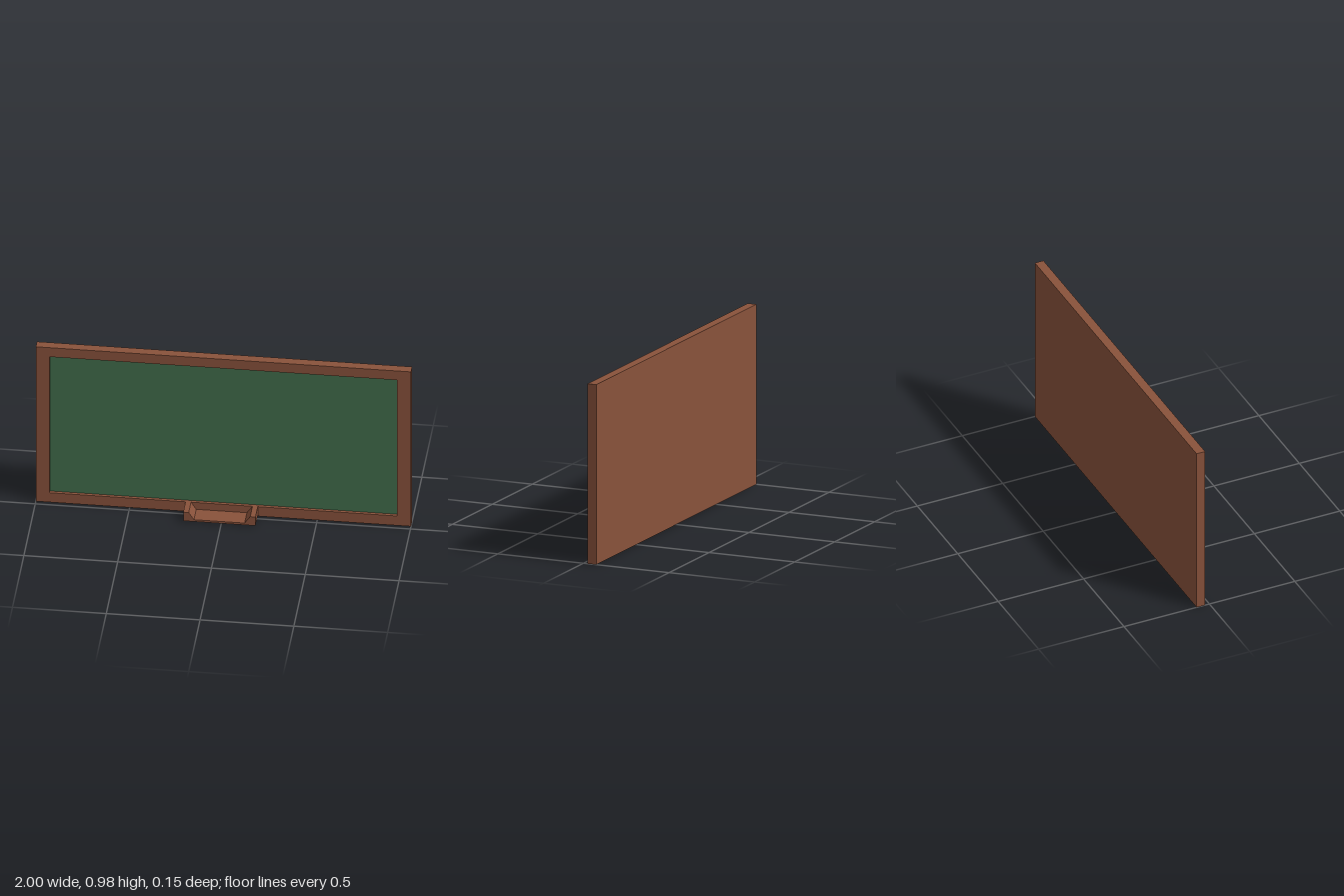
import * as THREE from 'three';

const wood = new THREE.MeshStandardMaterial({ name: 'brownWood', color: 0x89523b });
const slate = new THREE.MeshStandardMaterial({ name: 'greenSlate', color: 0x416d4b });

const BACK = -0.075, FACE = -0.042, FRONT = -0.025;
const HEIGHT = 0.98;
const opening = { left: -0.927, right: 0.925, bottom: 0.06, top: 0.922 };

function rectPoints(l, r, b, t) {
  return [[l, b], [r, b], [r, t], [l, t]].map(([x, y]) => new THREE.Vector2(x, y));
}

function extrude(name, shape, z0, z1, material) {
  const geometry = new THREE.ExtrudeGeometry(shape, { depth: z1 - z0, bevelEnabled: false });
  const mesh = new THREE.Mesh(geometry, material);
  mesh.name = name;
  mesh.position.z = z0;
  return mesh;
}

export function createModel() {
  const model = new THREE.Group();
  model.name = 'chalkboard';

  // Solid backing and the raised rim around the writing surface
  const outline = rectPoints(-1, 1, 0, HEIGHT);
  model.add(extrude('backing', new THREE.Shape(outline), BACK, FACE - 0.002, wood));

  const { left, right, bottom, top } = opening;
  const rim = new THREE.Shape(outline);
  rim.holes.push(new THREE.Path(rectPoints(left, right, bottom, top)));
  model.add(extrude('frame', rim, FACE - 0.002, FRONT, wood));

  // Recessed writing surface, a thin plate inside the rim
  const surface = new THREE.Shape(rectPoints(left, right, bottom, top));
  model.add(extrude('writingSurface', surface, FACE - 0.002, FACE, slate));

  // Chalk tray with sloped ends, open at the front
  const trayProfile = [
    [-0.202, 0.005], [0.183, 0.005], [0.183, 0.06], [0.155, 0.06],
    [0.125, 0.017], [-0.145, 0.017], [-0.173, 0.06], [-0.202, 0.06],
  ].map(([x, y]) => new THREE.Vector2(x, y));
  model.add(extrude('chalkTray', new THREE.Shape(trayProfile), FRONT, 0.075, wood));

  return model;
}
